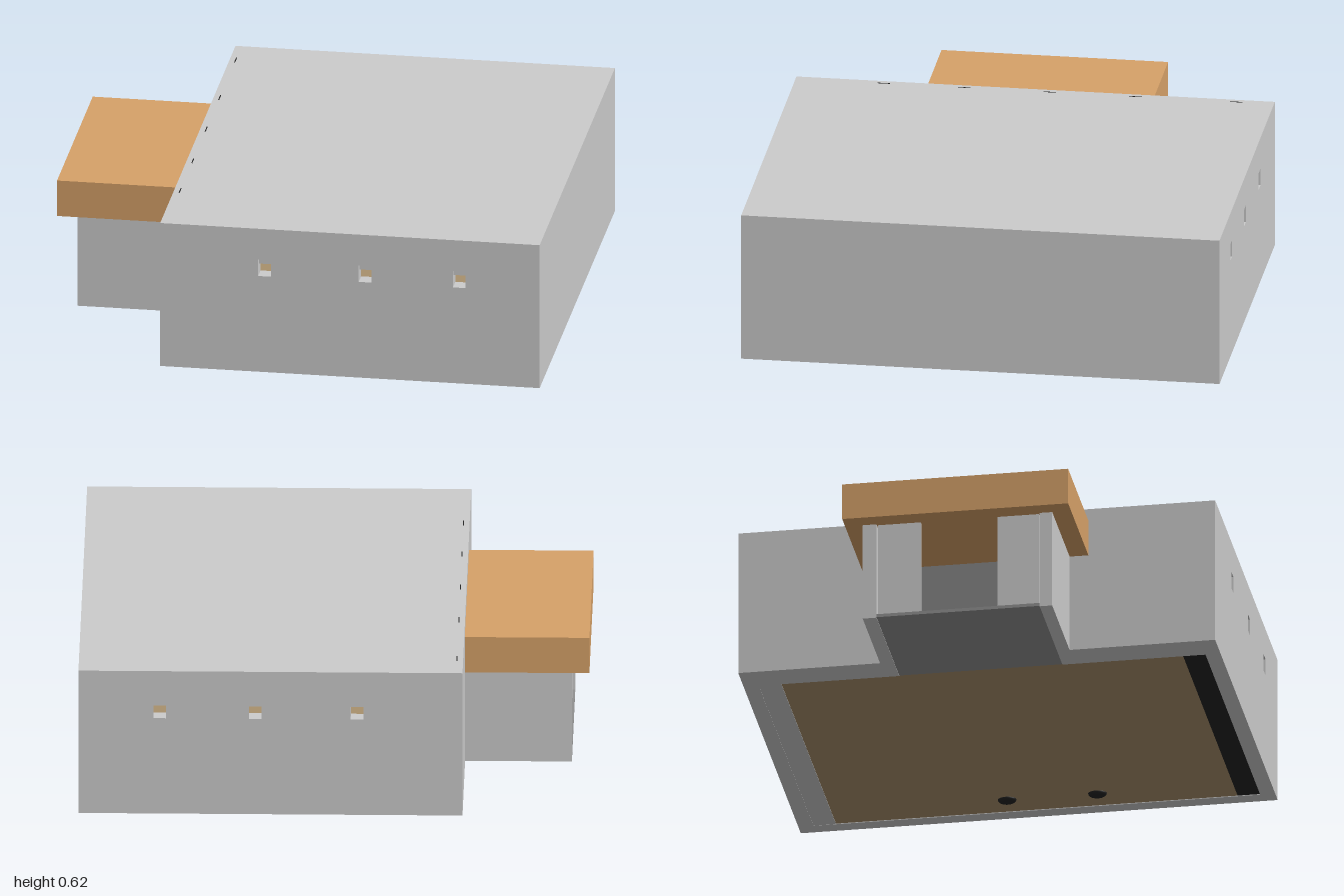
import * as THREE from 'three';

const mat = (color, extra = {}) => new THREE.MeshStandardMaterial({ color, ...extra });

export function createModel() {
  const model = new THREE.Group();
  const grey = mat(0xcccccc), timber = mat(0xd6a168), brown = mat(0xa8906c);
  const dark = mat(0x222222), slate = mat(0x909090), beige = mat(0xd8bfb0);

  // Box given by its extents along each axis
  const box = (name, material, [x0, x1], [y0, y1], [z0, z1], parent = model) => {
    const mesh = new THREE.Mesh(new THREE.BoxGeometry(x1 - x0, y1 - y0, z1 - z0), material);
    mesh.position.set((x0 + x1) / 2, (y0 + y1) / 2, (z0 + z1) / 2);
    mesh.name = name;
    parent.add(mesh);
    return mesh;
  };

  const base = 0.015, top = 0.62, left = 1, right = -0.51, depth = 0.95, wall = 0.06;
  const windows = [-0.095, 0.305, 0.68];

  // Front and back walls with three small window openings
  const outline = new THREE.Shape();
  outline.moveTo(right, base).lineTo(left, base).lineTo(left, top).lineTo(right, top).closePath();
  for (const x of windows) {
    const hole = new THREE.Path();
    hole.moveTo(x - 0.025, 0.42).lineTo(x - 0.025, 0.49).lineTo(x + 0.025, 0.49).lineTo(x + 0.025, 0.42).closePath();
    outline.holes.push(hole);
  }
  const wallGeometry = new THREE.ExtrudeGeometry(outline, { depth: wall, bevelEnabled: false });
  for (const [name, z] of [['frontWall', depth - wall], ['backWall', -depth]]) {
    const mesh = new THREE.Mesh(wallGeometry, grey);
    mesh.position.z = z;
    mesh.name = name;
    model.add(mesh);
    // Upper window bars inside the openings
    for (const x of windows)
      box('windowBar', grey, [x - 0.025, x + 0.025], [0.465, 0.49], [z + 0.02, z + 0.04]);
  }

  // Side walls, the right one with a doorway into the porch
  const inner = [-depth + wall, depth - wall];
  box('leftWall', grey, [left - wall, left], [base, top], inner);
  const doorway = [-0.33, 0.32];
  box('rightWallBack', grey, [right, -0.38], [base, top], [inner[0], doorway[0]]);
  box('rightWallFront', grey, [right, -0.38], [base, top], [doorway[1], inner[1]]);
  box('doorwayLintel', grey, [right, -0.38], [0.42, top], doorway);

  // Roof slab and floor with service strips along the walls
  box('roof', grey, [-0.38, left - wall], [top - 0.05, top], inner);
  box('floor', brown, [-0.38, left - wall], [0.018, 0.04], [-0.8, 0.8]);
  box('backFloorStrip', grey, [-0.38, left - wall], [0.016, 0.04], [inner[0], -0.8]);
  box('frontFloorStrip', dark, [-0.38, left - wall], [0.018, 0.04], [0.8, inner[1]]);

  // Porch: side walls, lining, front panels and floor
  const porch = new THREE.Group();
  porch.name = 'porch';
  model.add(porch);
  const outer = -0.93, canopyBase = 0.42;
  box('porchBackWall', grey, [outer, right], [base, canopyBase], [-0.385, -0.33], porch);
  box('porchFrontWall', grey, [outer, right], [base, canopyBase], [0.32, 0.37], porch);
  box('porchBackLining', beige, [outer + 0.04, right], [0.03, canopyBase], [-0.33, -0.325], porch);
  box('porchFrontLining', beige, [outer + 0.04, right], [0.03, canopyBase], [0.315, 0.32], porch);
  box('porchFloor', slate, [outer, -0.38], [0.017, 0.03], doorway, porch);
  box('backDoorPanel', grey, [outer + 0.01, outer + 0.03], [0.03, canopyBase], [-0.325, -0.155], porch);
  box('frontDoorPanel', grey, [outer + 0.01, outer + 0.03], [0.03, canopyBase], [0.15, 0.315], porch);

  // Timber canopy
  box('canopy', timber, [-1, right], [canopyBase, 0.57], [-0.455, 0.445]);

  // Small dark fixings along the roof edge above the porch
  for (const z of [-0.8, -0.4, -0.06, 0.28, 0.6])
    box('roofFixing', dark, [-0.488, -0.484], [top - 0.01, top + 0.001], [z - 0.025, z + 0.025]);

  // Rounded feet under the floor
  for (const z of [-0.1, 0.26]) {
    const foot = new THREE.Mesh(new THREE.SphereGeometry(1, 24, 12), dark);
    foot.scale.set(0.028, 0.018, 0.037);
    foot.position.set(0.83, 0.018, z);
    foot.name = 'foot';
    model.add(foot);
  }
  return model;
}
